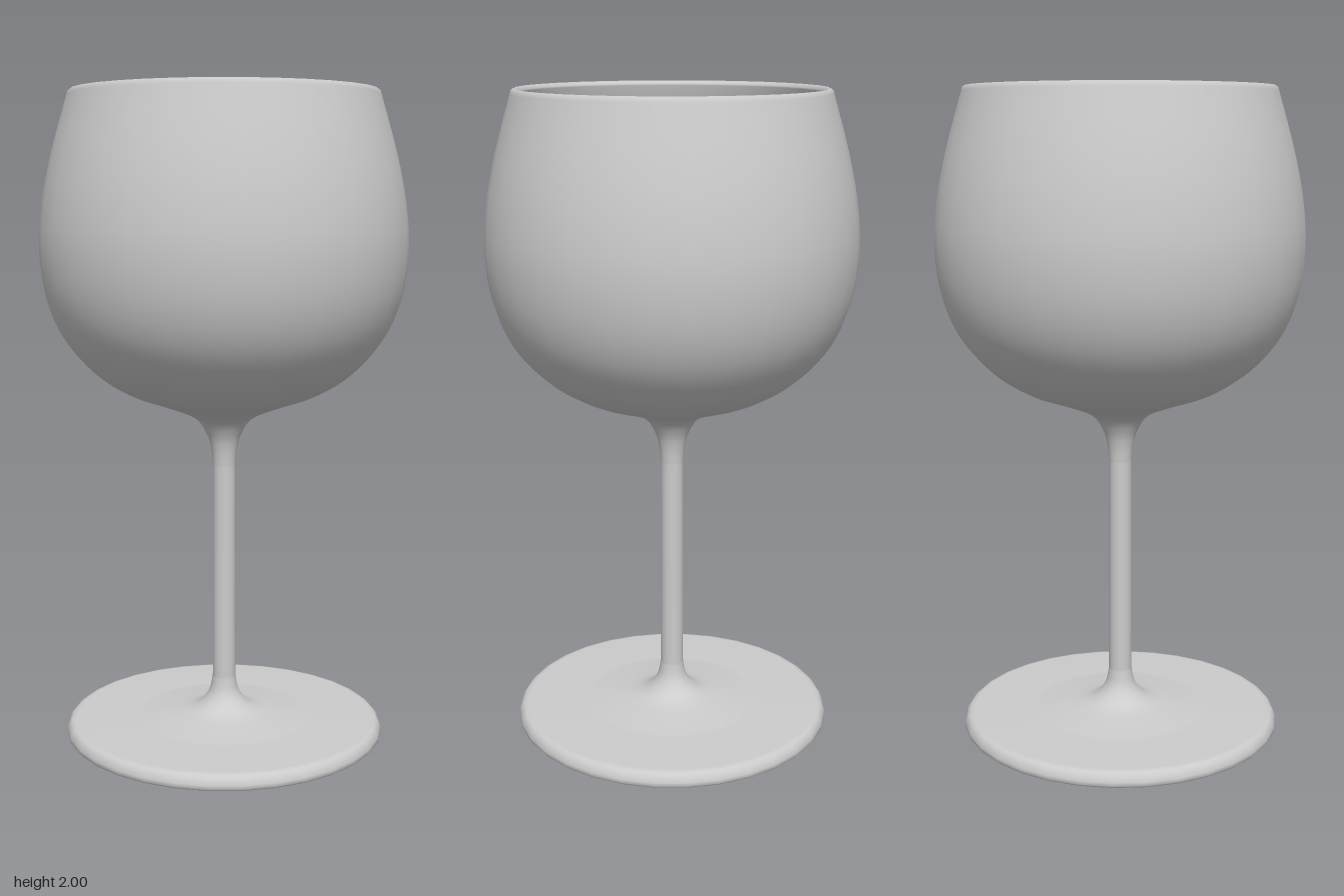
import * as THREE from 'three';

const SIDES = 32;

// Smooth curve through [radius, height] pairs
function smooth(pairs, steps) {
  const curve = new THREE.SplineCurve(pairs.map(([r, y]) => new THREE.Vector2(r, y)));
  return curve.getPoints(steps);
}

export function createModel() {
  const glass = new THREE.Group();
  glass.name = 'wineGlass';
  const material = new THREE.MeshStandardMaterial({ color: 0xcccccc });

  function addLathe(name, points) {
    const mesh = new THREE.Mesh(new THREE.LatheGeometry(points, SIDES), material);
    mesh.name = name;
    glass.add(mesh);
  }

  // Flat underside of the foot
  addLathe('footUnderside', [new THREE.Vector2(0, 0), new THREE.Vector2(0.494, 0)]);

  // Rounded foot edge and flat top, flaring up into the stem
  const footEdge = [[0.494, 0], [0.5, 0.007], [0.5, 0.018], [0.494, 0.034], [0.484, 0.043], [0.468, 0.047], [0.28, 0.048]]
    .map(([r, y]) => new THREE.Vector2(r, y));
  const footFlare = smooth([[0.28, 0.048], [0.19, 0.058], [0.115, 0.07], [0.073, 0.093], [0.046, 0.13], [0.036, 0.18]], 20);

  // Stem flaring out into the bowl, then up to the rim
  const bowlOutside = smooth([
    [0.035, 0.86], [0.04, 0.91], [0.055, 0.96], [0.093, 1.01], [0.19, 1.05], [0.3, 1.09],
    [0.405, 1.16], [0.49, 1.26], [0.54, 1.38], [0.559, 1.52], [0.55, 1.66], [0.52, 1.81], [0.47, 1.985],
  ], 48);
  const rim = [[0.467, 1.995], [0.46, 2], [0.453, 1.998], [0.448, 1.99]]
    .map(([r, y]) => new THREE.Vector2(r, y));

  // Inner wall, dipping to a small well above the stem
  const bowlInside = smooth([
    [0.447, 1.985], [0.498, 1.81], [0.528, 1.66], [0.537, 1.52], [0.519, 1.39], [0.472, 1.275],
    [0.392, 1.18], [0.29, 1.112], [0.18, 1.072], [0.08, 1.03], [0.037, 0.98], [0.018, 0.92], [0.014, 0.88],
  ], 48);

  addLathe('footAndStem', [...footEdge, ...footFlare.slice(1), bowlOutside[0]]);
  addLathe('bowl', [...bowlOutside, ...rim, ...bowlInside]);
  addLathe('wellBottom', [new THREE.Vector2(0.014, 0.88), new THREE.Vector2(0, 0.88)]);

  return glass;
}
